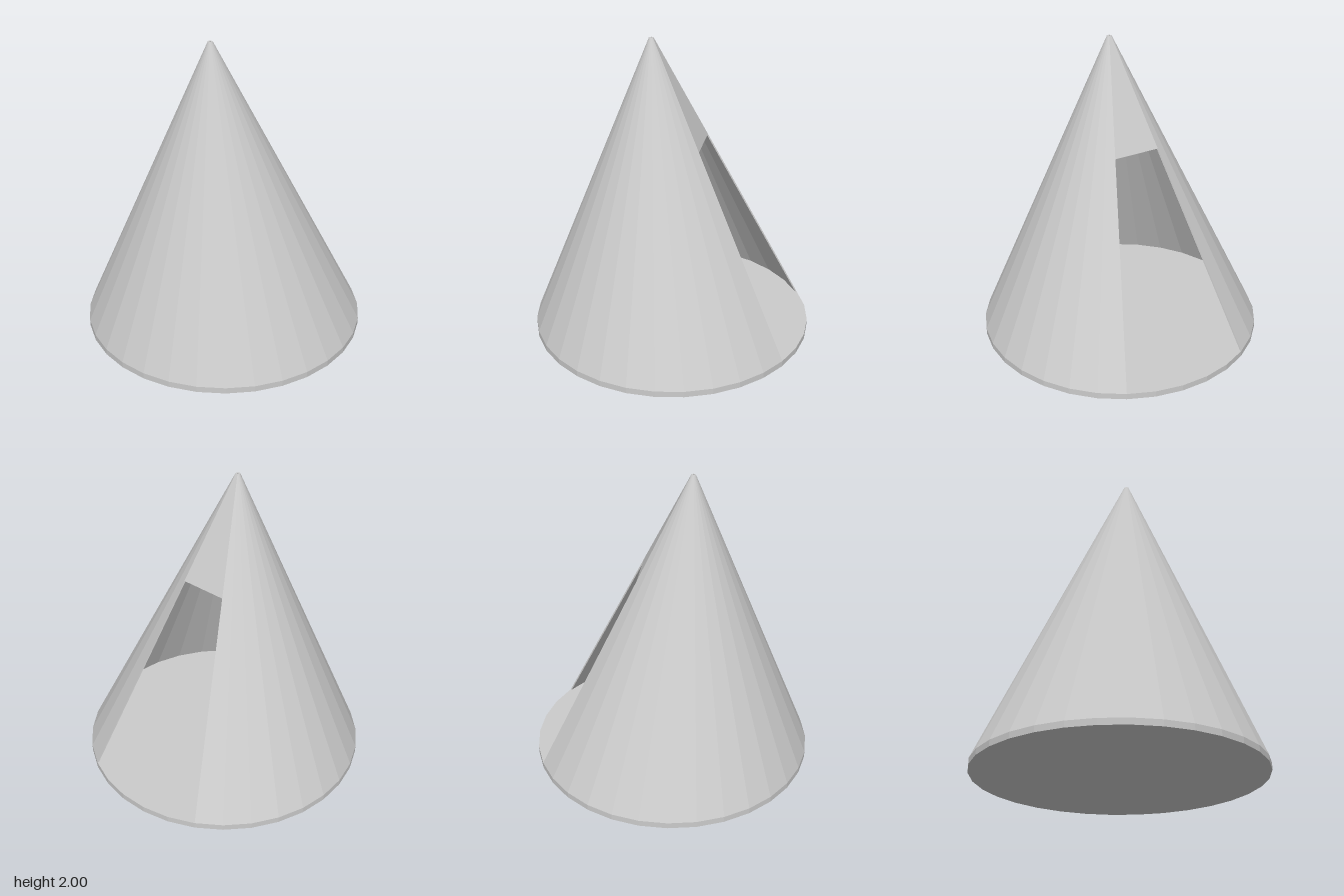
import * as THREE from 'three';

const SIDES = 32, RADIUS = 0.93, BASE_H = 0.04, HEIGHT = 2;
const TIP_R = 0.015, TIP_X = 0.012, TIP_Z = 0.13, WALL = 0.01;
const FIRST = 2, LAST = 29;      // wall corners on either side of the opening, counted from the back
const LINTEL = 0.655;            // top of the opening, as a fraction of the wall height

// Corner k of the leaning cone at height fraction t, moved inwards by inset
function corner(k, t, inset) {
  const a = (k / SIDES) * Math.PI * 2;
  const r = THREE.MathUtils.lerp(RADIUS, TIP_R, t) - inset;
  return [TIP_X * t + r * Math.sin(a), BASE_H + (HEIGHT - BASE_H) * t, TIP_Z * t - r * Math.cos(a)];
}

function wallGeometry() {
  const pos = [];
  const quad = (a, b, c, d) => pos.push(...a, ...b, ...c, ...a, ...c, ...d);
  const outer = (k, t) => corner(k, t, 0);
  const inner = (k, t) => corner(k, t, WALL);

  // One flat panel with outside, inside and rim at the tip
  const panel = (k0, k1, t) => {
    quad(outer(k1, t), outer(k0, t), outer(k0, 1), outer(k1, 1));
    quad(inner(k0, t), inner(k1, t), inner(k1, 1), inner(k0, 1));
    quad(outer(k1, 1), outer(k0, 1), inner(k0, 1), inner(k1, 1));
  };
  for (let k = FIRST; k < LAST; k++) panel(k, k + 1, 0);

  // Single flat panel above the opening
  const end = FIRST + SIDES;
  panel(LAST, end, LINTEL);

  // Edges of the opening: two sides and the top
  quad(outer(FIRST, 0), inner(FIRST, 0), inner(FIRST, LINTEL), outer(FIRST, LINTEL));
  quad(inner(LAST, 0), outer(LAST, 0), outer(LAST, LINTEL), inner(LAST, LINTEL));
  quad(outer(LAST, LINTEL), outer(end, LINTEL), inner(end, LINTEL), inner(LAST, LINTEL));

  const geo = new THREE.BufferGeometry();
  geo.setAttribute('position', new THREE.Float32BufferAttribute(pos, 3));
  geo.computeVertexNormals();
  return geo;
}

export function createModel() {
  const group = new THREE.Group();
  group.name = 'coneTent';
  const material = new THREE.MeshStandardMaterial({ color: 0xcccccc, flatShading: true });

  // Floor disc
  const floor = new THREE.Mesh(new THREE.CylinderGeometry(RADIUS, RADIUS, BASE_H, SIDES), material);
  floor.name = 'floor';
  floor.position.y = BASE_H / 2;
  group.add(floor);

  // Leaning conical shell with an opening at the back
  const wall = new THREE.Mesh(wallGeometry(), material);
  wall.name = 'wall';
  group.add(wall);

  return group;
}
